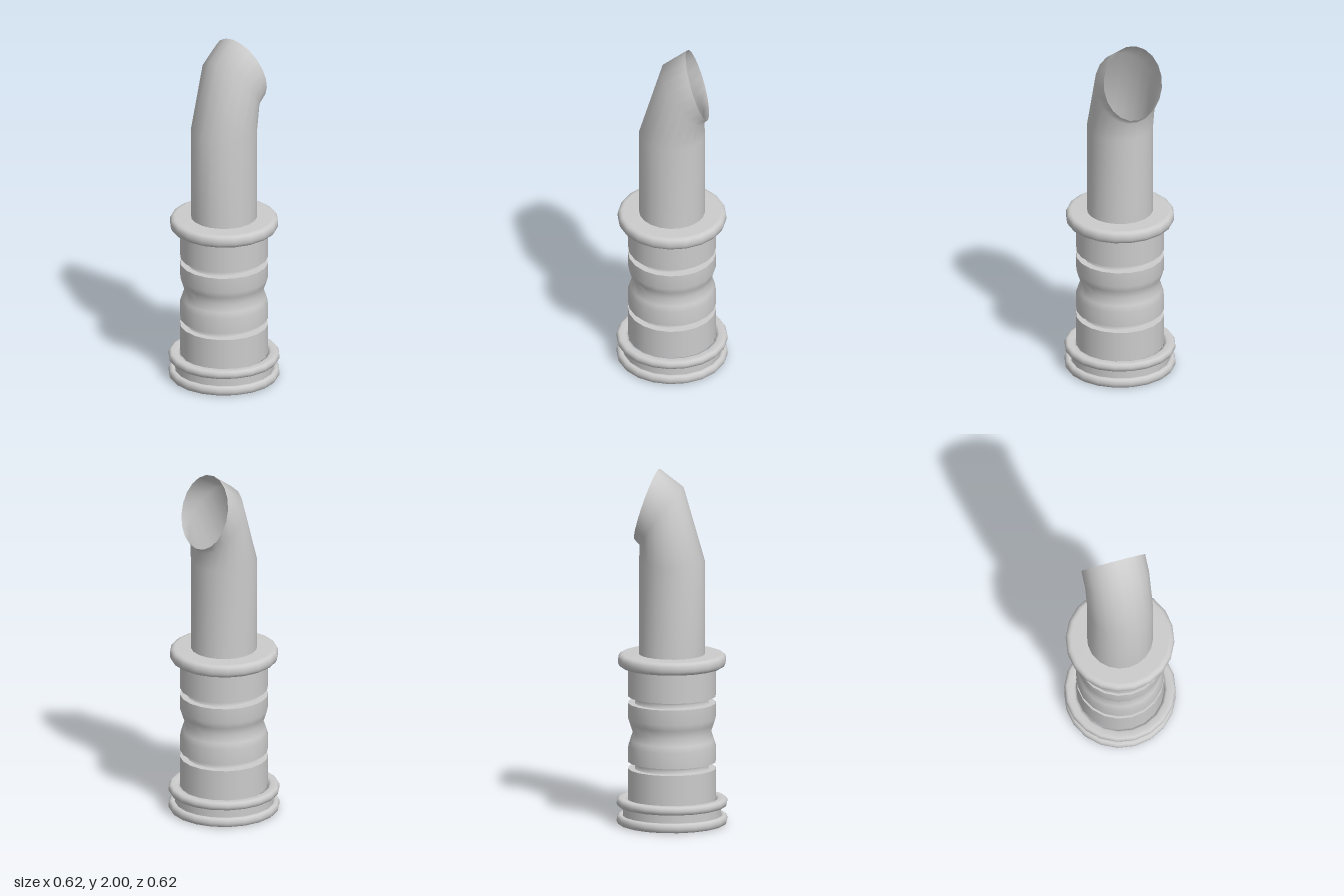
import * as THREE from 'three';

const SIDES = 20;
const material = new THREE.MeshStandardMaterial({ color: 0xcccccc, side: THREE.DoubleSide });

// One smooth turned strip; separate strips keep the edges between them sharp
function strip(name, points) {
  const profile = points.map(([r, y]) => new THREE.Vector2(r, y));
  const geometry = new THREE.LatheGeometry(profile, SIDES);
  geometry.normalizeNormals();
  const mesh = new THREE.Mesh(geometry, material);
  mesh.name = name;
  return mesh;
}

// Closed ring with rounded outer and inner edges
function roundedRing(name, inner, outer, y0, y1) {
  const h = (y1 - y0) / 2, mid = (y0 + y1) / 2, b = 0.018;
  const points = [];
  for (let i = 0; i <= 6; i++) {
    const a = -Math.PI / 2 + Math.PI * i / 6;
    points.push([outer - b + b * Math.cos(a), mid + h * Math.sin(a)]);
  }
  for (let i = 0; i <= 4; i++) {
    const a = Math.PI / 2 + Math.PI * i / 4;
    points.push([inner + b + b * Math.cos(a), mid + h * Math.sin(a)]);
  }
  points.push(points[0]);
  return strip(name, points);
}

// Open tube skinned over tilted rings, each given by its front and back point
function bentTube(radius, rings) {
  const positions = [], indices = [], row = SIDES + 1;
  rings.forEach(({ front, back }, k) => {
    for (let i = 0; i <= SIDES; i++) {
      const a = 2 * Math.PI * i / SIDES, t = (1 - Math.cos(a)) / 2;
      positions.push(radius * Math.sin(a),
        THREE.MathUtils.lerp(front[1], back[1], t),
        THREE.MathUtils.lerp(front[0], back[0], t));
      if (k > 0 && i < SIDES) {
        const p = (k - 1) * row + i, q = p + row;
        indices.push(p, p + 1, q + 1, p, q + 1, q);
      }
    }
  });
  const geometry = new THREE.BufferGeometry();
  geometry.setAttribute('position', new THREE.Float32BufferAttribute(positions, 3));
  geometry.setIndex(indices);
  geometry.computeVertexNormals();
  // Match the normals along the closing seam
  const n = geometry.attributes.normal;
  for (let k = 0; k < rings.length; k++) {
    const a = new THREE.Vector3().fromBufferAttribute(n, k * row);
    a.add(new THREE.Vector3().fromBufferAttribute(n, k * row + SIDES)).normalize();
    n.setXYZ(k * row, a.x, a.y, a.z);
    n.setXYZ(k * row + SIDES, a.x, a.y, a.z);
  }
  return geometry;
}

export function createModel() {
  const model = new THREE.Group();

  // Base: two rounded rings with a band between them
  const base = new THREE.Group();
  base.name = 'base';
  base.add(roundedRing('lowerBaseRing', 0.265, 0.31, 0, 0.053));
  base.add(strip('baseBand', [[0.274, 0.045], [0.274, 0.11]]));
  base.add(roundedRing('upperBaseRing', 0.245, 0.31, 0.1, 0.148));
  model.add(base);

  // Body: straight sleeves and a waisted grip
  const R = 0.245;
  const body = new THREE.Group();
  body.name = 'body';
  body.add(strip('lowerSleeve', [[R, 0.14], [R, 0.314]]));
  body.add(strip('grip', [[R, 0.352], [R, 0.44], [0.234, 0.475], [0.219, 0.52],
    [0.234, 0.565], [R, 0.6], [R, 0.684]]));
  body.add(strip('upperSleeve', [[R, 0.722], [R, 0.89]]));

  // Grooves between the sleeves and the grip
  for (const [bottom, top] of [[0.314, 0.352], [0.684, 0.722]]) {
    body.add(strip('grooveFloor', [[R, bottom], [0.208, bottom]]));
    body.add(strip('grooveNeck', [[0.208, bottom], [0.197, (bottom + top) / 2], [0.208, top]]));
    body.add(strip('grooveCeiling', [[0.208, top], [R, top]]));
  }
  model.add(body);

  // Collar with a rounded rim and a flat top around the tube
  model.add(strip('collar', [[R, 0.888], [0.27, 0.888], [0.282, 0.889], [0.294, 0.896],
    [0.301, 0.91], [0.302, 0.925], [0.301, 0.94], [0.294, 0.953], [0.282, 0.959],
    [0.27, 0.96], [0.183, 0.96]]));

  // Spout: straight tube bending back to an open slanted mouth; points are [z, y]
  const spout = new THREE.Mesh(bentTube(0.184, [
    { front: [0.184, 0.955], back: [-0.184, 0.955] },
    { front: [0.184, 1.48], back: [-0.184, 1.48] },
    { front: [0.06, 1.9], back: [-0.178, 1.57] },
    { front: [-0.076, 2], back: [-0.206, 1.6] },
  ]), material);
  spout.name = 'spout';
  model.add(spout);

  return model;
}
